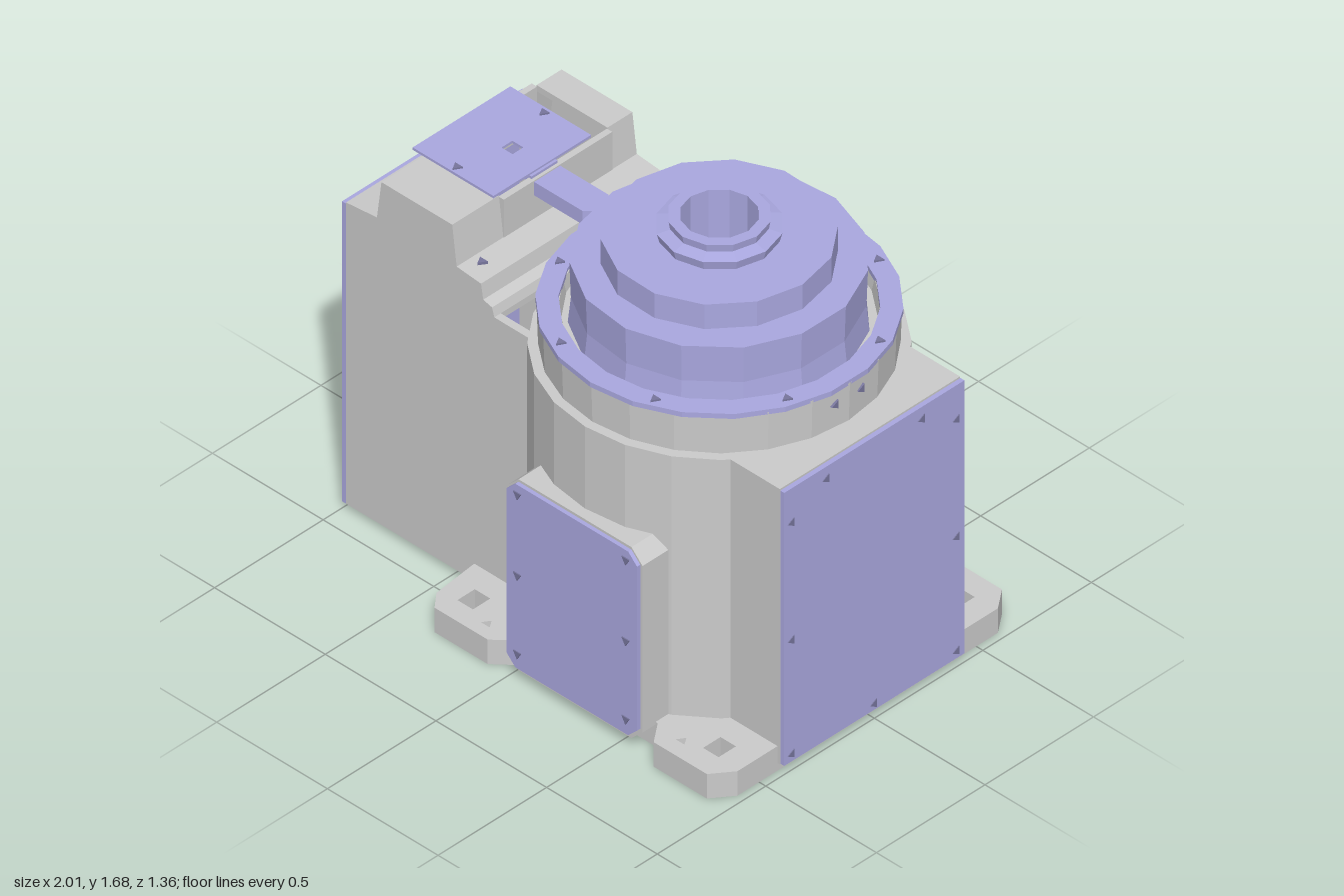
import * as THREE from 'three';

const grey = new THREE.MeshStandardMaterial({ color: 0xcccccc, flatShading: true, side: THREE.DoubleSide });
const violet = new THREE.MeshStandardMaterial({ color: 0xaaa8e0, flatShading: true, side: THREE.DoubleSide });
const dark = new THREE.MeshStandardMaterial({ color: 0x77759c, flatShading: true });
const CX = 0.3; // axis of the drum

const toShape = (pts) => new THREE.Shape(pts.map(([x, y]) => new THREE.Vector2(x, y)));
const toHole = (pts) => new THREE.Path(pts.map(([x, y]) => new THREE.Vector2(x, y)));
const rect = (x0, y0, x1, y1) => [[x0, y0], [x1, y0], [x1, y1], [x0, y1]];
const chamfered = (x0, y0, x1, y1, c) => [
  [x0 + c, y0], [x1 - c, y0], [x1, y0 + c], [x1, y1 - c],
  [x1 - c, y1], [x0 + c, y1], [x0, y1 - c], [x0, y0 + c]];

function extrude(pts, depth, holes = []) {
  const shape = toShape(pts);
  holes.forEach((h) => shape.holes.push(toHole(h)));
  return new THREE.ExtrudeGeometry(shape, { depth, bevelEnabled: false });
}

export function createModel() {
  const model = new THREE.Group();

  const add = (name, geo, mat, x = 0, y = 0, z = 0, parent = model) => {
    const mesh = new THREE.Mesh(geo, mat);
    mesh.name = name;
    mesh.position.set(x, y, z);
    parent.add(mesh);
    return mesh;
  };
  const box = (name, mat, x0, x1, y0, y1, z0, z1) =>
    add(name, new THREE.BoxGeometry(x1 - x0, y1 - y0, z1 - z0), mat, (x0 + x1) / 2, (y0 + y1) / 2, (z0 + z1) / 2);
  const lathe = (name, pts, sides, mat, turn = 0) => {
    const geo = new THREE.LatheGeometry(pts.map(([r, y]) => new THREE.Vector2(r, y)), sides);
    return add(name, geo.rotateY(turn), mat, CX);
  };
  // Small three-sided screw, turned to face along the given axis
  const screw = (x, y, z, axis) => {
    const geo = new THREE.CylinderGeometry(0.02, 0.02, 0.012, 3);
    if (axis === 'z') geo.rotateX(Math.PI / 2);
    if (axis === 'x') geo.rotateZ(Math.PI / 2);
    add('screw', geo, dark, x, y, z);
  };

  // Base plate with four feet and bolt holes
  const half = [[0.97, 0.42], [0.97, 0.6], [0.91, 0.68], [0.67, 0.68], [0.61, 0.6],
    [-0.01, 0.6], [-0.09, 0.67], [-0.33, 0.67], [-0.38, 0.61], [-0.4, 0.42]];
  const outline = [...half, ...half.slice().reverse().map(([x, z]) => [x, -z])];
  const boltHoles = [];
  for (const s of [1, -1]) {
    for (const x of [-0.27, 0.84]) boltHoles.push(rect(x - 0.035, s * 0.55 - 0.04, x + 0.035, s * 0.55 + 0.04));
    for (const x of [-0.15, 0.73]) boltHoles.push([[x - 0.02, s * 0.62], [x + 0.02, s * 0.62], [x, s * 0.62 + 0.03]]);
  }
  add('basePlate', extrude(outline, 0.1, boltHoles).rotateX(-Math.PI / 2), grey);

  // Drum, collar and flange ring
  lathe('drum', [[0.62, 0.05], [0.62, 1.155], [0.5, 1.155]], 24, grey);
  lathe('collar', [[0.585, 1.155], [0.59, 1.31], [0.52, 1.31], [0.51, 1.26], [0.46, 1.26]], 24, grey);
  lathe('flangeRing', [[0.52, 1.302], [0.595, 1.302], [0.595, 1.322], [0.52, 1.322], [0.52, 1.302]], 22, violet);
  for (let i = 0; i < 8; i++) {
    const a = (i + 0.5) * Math.PI / 4;
    screw(CX + 0.557 * Math.cos(a), 1.323, 0.557 * Math.sin(a), 'y');
  }
  for (const z of [0.06, -0.06]) screw(CX + 0.582, 1.25, z, 'x');

  // Stepped turntable with a bore
  lathe('turntableLower', [[0.49, 1.26], [0.48, 1.36], [0.485, 1.505], [0.37, 1.505]], 15, violet, 0.1);
  lathe('turntableMiddle', [[0.385, 1.5], [0.385, 1.605], [0.18, 1.605]], 14, violet, 0.2);
  lathe('turntableHub', [[0.2, 1.6], [0.21, 1.64], [0.165, 1.65], [0.17, 1.68],
    [0.13, 1.68], [0.13, 1.3]], 12, violet);

  // Rear-end block beside the drum with its large cover
  box('rightBlock', grey, 0.7, 0.98, 0.03, 1.155, -0.415, 0.415);
  box('rightCover', violet, 0.982, 1, 0.035, 1.15, -0.415, 0.415);
  for (const z of [-0.38, 0.38]) for (const y of [0.065, 0.53, 1.01]) screw(0.997, y, z, 'x');
  for (const z of [-0.22, 0.22]) screw(0.997, 1.1, z, 'x');
  screw(0.997, 0.06, 0, 'x');

  // Hollow left housing: two side walls joined by floor and stepped roof
  const roof = [[-0.98, 1.26], [-0.84, 1.275], [-0.82, 1.43], [-0.5, 1.43], [-0.48, 1.27],
    [-0.37, 1.26], [-0.36, 1.2], [-0.32, 1.19], [-0.31, 1.155]];
  const side = [[-0.98, 0.03], [-0.15, 0.03], [-0.15, 1.155], ...roof.slice().reverse()];
  for (const z of [-0.415, 0.385]) add('housingWall', extrude(side, 0.03), grey, 0, 0, z);
  const strip = (pts) => [...pts, ...pts.slice().reverse().map(([x, y]) => [x, y - 0.025])];
  const roofPart = (pts, z0, z1) => add('housingRoof', extrude(strip(pts), z1 - z0), grey, 0, 0, z0);
  roofPart(roof, -0.39, -0.3);
  roofPart(roof, 0.2, 0.39);
  // Opening in the raised part under the cable plate
  roofPart(roof.slice(0, 2), -0.3, 0.2);
  roofPart(roof.slice(4), -0.3, 0.2);
  for (const x of [-0.83, -0.49]) box('raisedWall', grey, x - 0.012, x + 0.012, 1.25, 1.425, -0.3, 0.2);
  box('housingFloor', grey, -0.98, -0.3, 0.03, 0.055, -0.39, 0.39);
  screw(-0.44, 1.27, 0.34, 'y');

  // Connector panel with windows at the left end
  const windows = [rect(0.12, 0.8, 0.31, 1.21), rect(-0.26, 0.78, -0.02, 0.97),
    rect(-0.22, 0.46, 0.26, 0.72), rect(-0.22, 0.13, 0.26, 0.37)];
  add('connectorPanel', extrude(rect(-0.415, 0.03, 0.415, 1.255), 0.018, windows).rotateY(-Math.PI / 2), violet, -0.98);
  for (const z of [-0.38, 0.38]) for (const y of [0.08, 0.42, 0.76, 1.18]) screw(-0.996, y, z, 'x');

  // Cable plate and pointed arm above the housing
  add('cablePlate', extrude(rect(-0.865, -0.225, -0.5, 0.225), 0.01,
    [rect(-0.66, -0.025, -0.61, 0.025)]).rotateX(-Math.PI / 2), violet, 0, 1.432);
  add('cableArm', extrude([[-0.51, -0.06], [-0.26, -0.06], [-0.2, 0], [-0.26, 0.06], [-0.51, 0.06]], 0.055)
    .rotateX(-Math.PI / 2), violet, 0, 1.365);
  box('armBracket', violet, -0.52, -0.49, 1.365, 1.435, -0.06, 0.06);
  for (const z of [-0.2, 0.2]) screw(-0.69, 1.442, z, 'y');

  // Front and back access boxes with covers
  for (const s of [1, -1]) {
    const boxPart = add('accessBox', extrude(chamfered(-0.01, 0.04, 0.6, 0.82, 0.05), 0.17), grey);
    boxPart.position.z = s > 0 ? 0.49 : -0.66;
    const cover = add('accessCover', extrude(chamfered(0, 0.06, 0.59, 0.81, 0.04), 0.015), violet);
    cover.position.z = s > 0 ? 0.66 : -0.675;
    for (const x of [0.05, 0.54]) for (const y of [0.12, 0.44, 0.77]) screw(x, y, s * 0.673, 'z');
  }

  return model;
}
